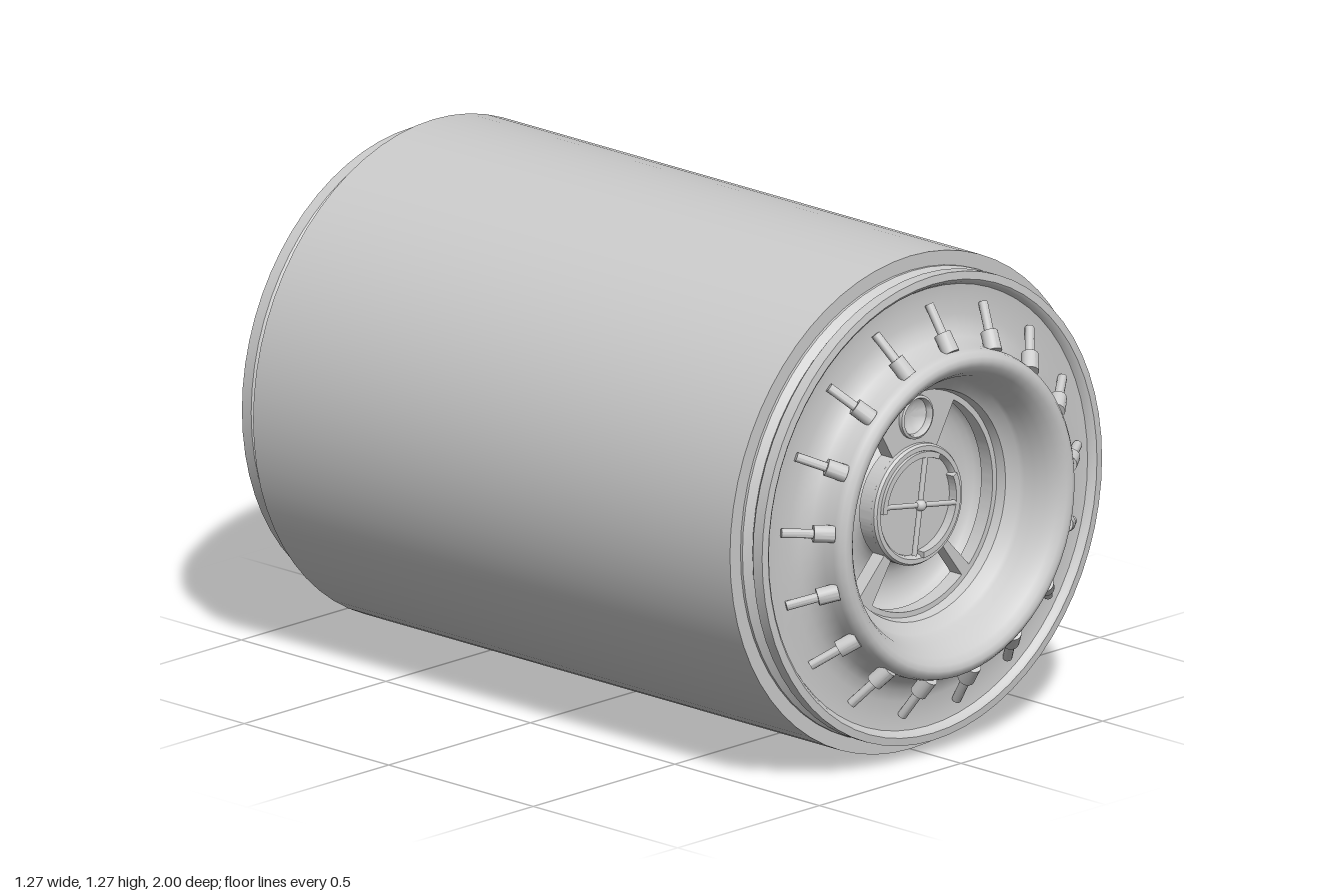
import * as THREE from 'three';
import { toCreasedNormals } from 'three/addons/utils/BufferGeometryUtils.js';

const RADIUS = 0.637;
const mat = new THREE.MeshStandardMaterial({ color: 0xcccccc });
const rad = THREE.MathUtils.degToRad;

function add(parent, geometry, name) {
  const mesh = new THREE.Mesh(geometry, mat);
  mesh.name = name;
  parent.add(mesh);
  return mesh;
}

// Turned part around the z axis from [radius, z] pairs
function turned(points, segments = 64) {
  const g = new THREE.LatheGeometry(points.map(([r, z]) => new THREE.Vector2(r, z)), segments);
  g.rotateX(Math.PI / 2);
  return toCreasedNormals(g, rad(35));
}

// Straight rod between two points
function rod(a, b, radius, sides = 12) {
  const dir = b.clone().sub(a);
  const g = new THREE.CylinderGeometry(radius, radius, dir.length(), sides);
  g.applyQuaternion(new THREE.Quaternion().setFromUnitVectors(new THREE.Vector3(0, 1, 0), dir.normalize()));
  const mid = a.clone().add(b).multiplyScalar(0.5);
  return g.translate(mid.x, mid.y, mid.z);
}

// Outline of a ring sector, angles in degrees
function sector(Outline, r0, r1, from, to) {
  const p = new Outline();
  p.absarc(0, 0, r1, rad(from), rad(to), false);
  p.absarc(0, 0, r0, rad(to), rad(from), true);
  p.closePath();
  return p;
}

function extrude(shape, depth, z) {
  const g = new THREE.ExtrudeGeometry(shape, { depth, bevelEnabled: false, curveSegments: 32 });
  return toCreasedNormals(g.translate(0, 0, z), rad(35));
}

function createEnd() {
  const end = new THREE.Group();

  // Grooved flange, recessed annulus, rolled collar and bowl
  add(end, turned([
    [0.6, 0.82], [0.6, 0.832], [0.583, 0.85], [0.6, 0.868], [0.6, 0.9], [0.58, 0.902],
    [0.572, 0.896], [0.565, 0.884], [0.54, 0.882], [0.49, 0.885], [0.46, 0.892], [0.437, 0.91],
    [0.422, 0.94], [0.42, 0.97], [0.415, 0.986], [0.404, 0.997], [0.392, 1], [0.378, 0.995],
    [0.362, 0.98], [0.347, 0.955], [0.336, 0.925], [0.327, 0.9], [0.322, 0.888],
    [0.295, 0.865], [0.288, 0.835],
  ]), 'endCap');

  // Face plate with three curved windows and a round port
  const plate = new THREE.Shape();
  plate.absarc(0, 0, 0.293, 0, Math.PI * 2, false);
  for (const [from, to] of [[120, 226], [-46, 60], [237, 307]]) {
    plate.holes.push(sector(THREE.Path, 0.155, 0.275, from, to));
  }
  const port = new THREE.Path();
  port.absarc(0, 0.225, 0.05, 0, Math.PI * 2, true);
  plate.holes.push(port);
  add(end, extrude(plate, 0.04, 0.8), 'facePlate');

  // Rounded trough behind the windows
  const trough = [];
  for (let i = 0; i <= 10; i++) {
    const t = (Math.PI * i) / 10;
    trough.push([0.215 + 0.07 * Math.cos(t), 0.805 - 0.045 * Math.sin(t)]);
  }
  add(end, turned(trough), 'windowTrough');

  // Port with raised rim and dished glass
  const dish = turned([[0.056, 0.838], [0.056, 0.85], [0.05, 0.853], [0.047, 0.848],
    [0.046, 0.835], [0.035, 0.826], [0.02, 0.821], [0, 0.819]], 32);
  add(end, dish, 'port').position.y = 0.225;

  // Central hub with stepped rings and a dished middle
  add(end, turned([[0.155, 0.8], [0.155, 0.85], [0.15, 0.857], [0.138, 0.857], [0.132, 0.85],
    [0.13, 0.832], [0.08, 0.832], [0.073, 0.84], [0.066, 0.838], [0.052, 0.824],
    [0.03, 0.82], [0.015, 0.826], [0, 0.828]]), 'hub');

  // Hand wheel: two rim arcs, four spokes and a centre knob
  for (const [from, to] of [[61, 178], [-87, 25]]) {
    add(end, extrude(sector(THREE.Shape, 0.122, 0.137, from, to), 0.025, 0.84), 'wheelArc');
  }
  for (let i = 0; i < 4; i++) {
    const a = rad(-9 + i * 90);
    add(end, rod(new THREE.Vector3(0, 0, 0.858),
      new THREE.Vector3(Math.cos(a) * 0.128, Math.sin(a) * 0.128, 0.858), 0.007), 'wheelSpoke');
  }
  add(end, new THREE.SphereGeometry(0.015, 16, 12).translate(0, 0, 0.86), 'wheelKnob');

  // Slanted clamps around the collar
  const socket = rod(new THREE.Vector3(0, 0.415, 0.966), new THREE.Vector3(0, 0.458, 0.935), 0.022, 16);
  const pin = rod(new THREE.Vector3(0, 0.44, 0.948), new THREE.Vector3(0, 0.525, 0.89), 0.012);
  for (let i = 0; i < 17; i++) {
    const clamp = new THREE.Group();
    clamp.name = 'clamp';
    add(clamp, toCreasedNormals(socket, rad(35)), 'clampSocket');
    add(clamp, toCreasedNormals(pin, rad(35)), 'clampPin');
    clamp.rotation.z = (i / 17) * Math.PI * 2;
    end.add(clamp);
  }
  return end;
}

export function createModel() {
  const model = new THREE.Group();
  model.name = 'canister';

  // Main drum with flat shoulders
  add(model, turned([[0.57, -0.825], [RADIUS, -0.825], [RADIUS, 0.825], [0.57, 0.825]]), 'drum');

  // Matching ends, the rear one turned around
  const front = createEnd();
  front.name = 'frontEnd';
  const back = createEnd();
  back.name = 'backEnd';
  back.rotation.y = Math.PI;
  model.add(front, back);

  for (const part of model.children) part.position.y = RADIUS;
  return model;
}
